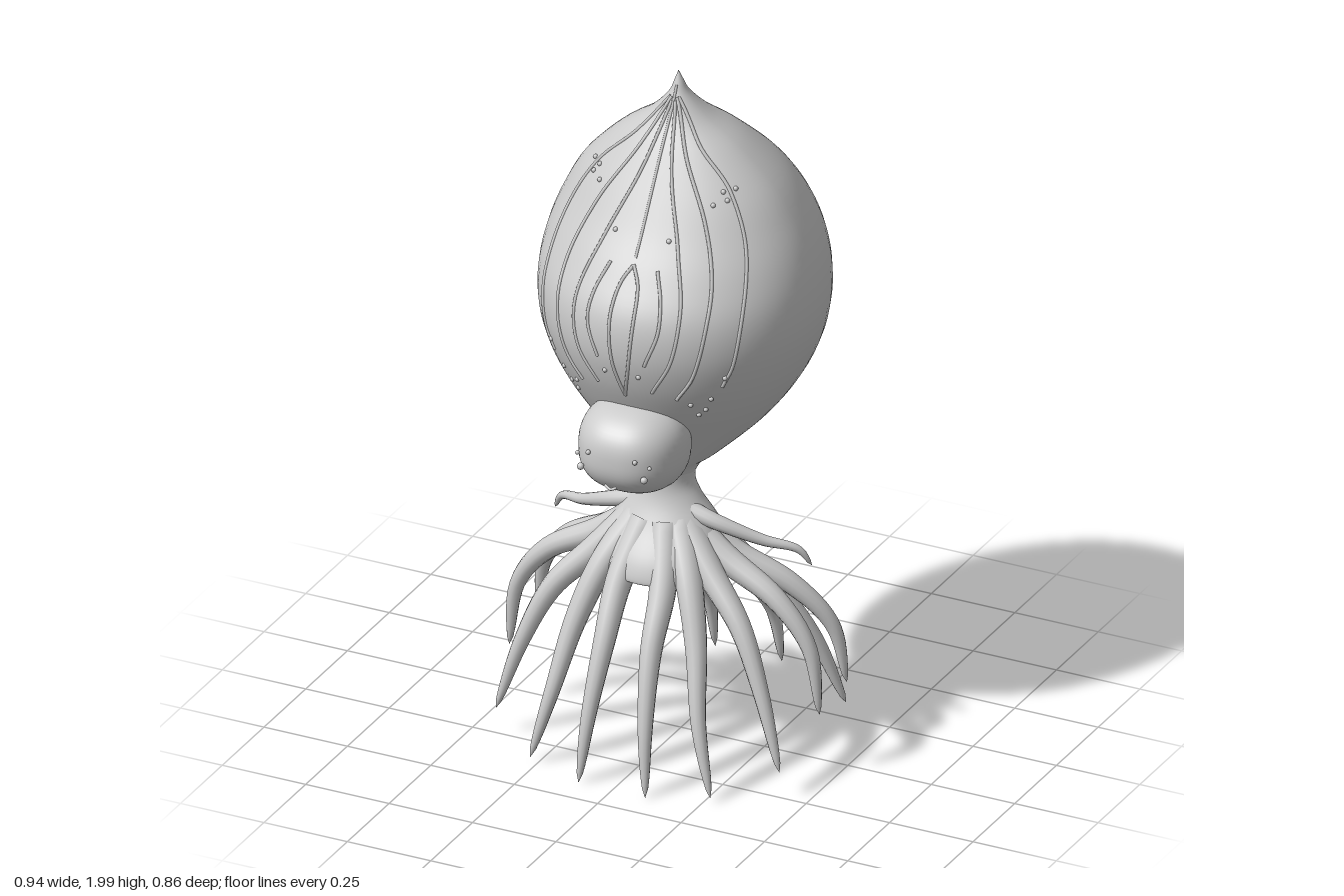
import * as THREE from 'three';

const V = (x, y, z) => new THREE.Vector3(x, y, z);

// Skin a list of closed rings (each an array of Vector3) with smooth normals.
function loft(rings) {
  const n = rings[0].length, pos = [], idx = [];
  rings.forEach(r => r.forEach(p => pos.push(p.x, p.y, p.z)));
  for (let i = 0; i < rings.length - 1; i++) {
    for (let j = 0; j < n; j++) {
      const k = (j + 1) % n, a = i * n + j, b = i * n + k;
      idx.push(a, b, b + n, a, b + n, a + n);
    }
  }
  const g = new THREE.BufferGeometry();
  g.setAttribute('position', new THREE.Float32BufferAttribute(pos, 3));
  g.setIndex(idx);
  g.computeVertexNormals();
  return g;
}

// Sections: [y, halfWidth, frontZ, backZ, centreZ], smoothed into many rows.
function smoothRows(rows, count) {
  const a = new THREE.CatmullRomCurve3(rows.map(r => V(r[0], r[1], 0)), false, 'catmullrom');
  const b = new THREE.CatmullRomCurve3(rows.map(r => V(r[2], r[3], r[4])), false, 'catmullrom');
  return Array.from({ length: count + 1 }, (_, i) => {
    const p = a.getPoint(i / count), q = b.getPoint(i / count);
    return [p.x, Math.max(p.y, 0), q.x, q.y, q.z];
  });
}

function sectionRing([y, w, f, b, c], n = 56) {
  return Array.from({ length: n }, (_, j) => {
    const t = j / n * Math.PI * 2, k = Math.cos(t);
    return V(w * Math.sin(t), y, c + k * (k > 0 ? f - c : c - b));
  });
}

// Tapering limb swept along a curve, with a rounded tip.
function limb(points, r0, r1) {
  const curve = new THREE.CatmullRomCurve3(points.map(p => V(...p)));
  const steps = 28, n = 12, fr = curve.computeFrenetFrames(steps, false);
  const rings = [];
  for (let i = 0; i <= steps; i++) {
    const t = i / steps, c = curve.getPointAt(t);
    const r = (r0 + (r1 - r0) * t) * Math.sqrt(Math.max(0, 1 - Math.pow(t, 14)));
    rings.push(Array.from({ length: n }, (_, j) => {
      const a = j / n * Math.PI * 2;
      return c.clone().addScaledVector(fr.normals[i], r * Math.cos(a))
        .addScaledVector(fr.binormals[i], r * Math.sin(a));
    }));
  }
  return loft(rings);
}

const MANTLE = smoothRows([
  [0.82, 0.07, 0.145, 0.015, 0.08], [0.865, 0.095, 0.17, -0.03, 0.07],
  [0.9, 0.14, 0.19, -0.11, 0.05], [1.0, 0.245, 0.24, -0.26, 0.01],
  [1.1, 0.32, 0.3, -0.345, -0.01], [1.2, 0.368, 0.347, -0.4, -0.02],
  [1.3, 0.392, 0.37, -0.425, -0.02], [1.4, 0.393, 0.36, -0.43, -0.02],
  [1.5, 0.375, 0.305, -0.41, -0.02], [1.6, 0.337, 0.24, -0.362, -0.02],
  [1.7, 0.278, 0.18, -0.285, -0.01], [1.8, 0.18, 0.12, -0.175, 0],
  [1.87, 0.085, 0.075, -0.085, 0.005], [1.93, 0.03, 0.04, -0.025, 0.01],
  [1.97, 0.012, 0.024, 0, 0.012], [2.0, 0, 0.015, 0.015, 0.015]], 75);

// Point on the front of the mantle at a given x and y.
function onMantle(x, y, lift = 0) {
  let i = 1;
  while (i < MANTLE.length - 1 && MANTLE[i][0] < y) i++;
  const A = MANTLE[i - 1], B = MANTLE[i], t = (y - A[0]) / (B[0] - A[0]);
  const [, w, f, , c] = A.map((v, k) => v + (B[k] - v) * t);
  return V(x, y, c + (f - c) * Math.sqrt(Math.max(0, 1 - (x / w) ** 2)) + lift);
}

export function createModel() {
  const root = new THREE.Group();
  const grey = new THREE.MeshStandardMaterial({ color: 0xcccccc, side: THREE.DoubleSide });
  const add = (name, geo, parent = root) => {
    const m = new THREE.Mesh(geo, grey);
    m.name = name;
    parent.add(m);
    return m;
  };
  const group = name => {
    const g = new THREE.Group();
    g.name = name;
    root.add(g);
    return g;
  };

  // Bulbous pointed body
  add('mantle', loft(MANTLE.map(r => sectionRing(r))));

  // Neck flaring into a hollow skirt
  const skirt = smoothRows([
    [0.67, 0, 0.085, 0.085, 0.085], [0.64, 0.09, 0.16, 0.01, 0.085],
    [0.57, 0.17, 0.24, -0.08, 0.085], [0.565, 0.187, 0.262, -0.095, 0.085],
    [0.62, 0.18, 0.245, -0.072, 0.085], [0.7, 0.142, 0.195, -0.025, 0.085],
    [0.76, 0.1, 0.165, 0.004, 0.085], [0.81, 0.077, 0.155, 0.012, 0.083],
    [0.87, 0.083, 0.16, 0, 0.08]], 40);
  add('skirt', loft(skirt.map(r => sectionRing(r))));

  // Tentacles and the slim side arms, mirrored left and right
  const tentacles = group('tentacles');
  const paths = [
    [[0.03, 0.7, 0.15], [0.065, 0.55, 0.24], [0.07, 0.4, 0.32], [0.085, 0.2, 0.385], [0.1, 0.01, 0.415]],
    [[0.06, 0.7, 0.13], [0.13, 0.57, 0.21], [0.18, 0.42, 0.27], [0.22, 0.22, 0.335], [0.27, 0.025, 0.365]],
    [[0.07, 0.7, 0.12], [0.17, 0.59, 0.165], [0.28, 0.47, 0.205], [0.355, 0.31, 0.235], [0.425, 0.09, 0.26]],
    [[0.07, 0.69, 0.1], [0.19, 0.61, 0.105], [0.34, 0.525, 0.11], [0.435, 0.4, 0.105], [0.465, 0.2, 0.1]],
    [[0.07, 0.69, 0.08], [0.18, 0.605, 0.05], [0.33, 0.52, 0], [0.43, 0.4, -0.045], [0.462, 0.22, -0.07]],
    [[0.06, 0.69, 0.06], [0.14, 0.59, -0.005], [0.25, 0.46, -0.06], [0.34, 0.31, -0.115], [0.41, 0.1, -0.17]],
    [[0.03, 0.7, 0.03], [0.06, 0.57, -0.07], [0.07, 0.45, -0.16], [0.08, 0.35, -0.27], [0.095, 0.22, -0.36], [0.1, 0.045, -0.405]]];
  const arm = [[0.07, 0.74, 0.11], [0.16, 0.71, 0.1], [0.27, 0.66, 0.05], [0.355, 0.63, 0.005], [0.385, 0.58, -0.015]];
  for (const s of [1, -1]) {
    const mirror = path => path.map(([x, y, z]) => [x * s, y, z]);
    paths.forEach(p => add('tentacle', limb(mirror(p), 0.045, 0.012), tentacles));
    add('sideArm', limb(mirror(arm), 0.026, 0.008), tentacles);
  }

  // Rounded, slightly boxy head
  const head = group('head');
  const skull = new THREE.SphereGeometry(1, 48, 32), p = skull.attributes.position;
  for (let i = 0; i < p.count; i++) {
    const v = V(p.getX(i), p.getY(i), p.getZ(i));
    const q = Math.pow(Math.abs(v.x) ** 2.5 + Math.abs(v.y) ** 2.5 + Math.abs(v.z) ** 2.5, -1 / 2.5);
    v.multiplyScalar(q);
    const taper = 1 - 0.12 * Math.max(0, v.z);
    p.setXYZ(i, v.x * 0.15 * taper, 0.997 + v.y * 0.128 * taper, 0.285 + v.z * 0.14);
  }
  skull.computeVertexNormals();
  add('skull', skull, head);

  // Small eyes, cheek bumps and mouth
  const bead = (name, x, y, z, r, parent) =>
    add(name, new THREE.SphereGeometry(r, 10, 8), parent).position.set(x, y, z);
  for (const s of [1, -1]) {
    bead('eye', s * 0.07, 1.015, 0.417, 0.007, head);
    bead('cheekBump', s * 0.095, 0.965, 0.412, 0.01, head);
    bead('cheekBump', s * 0.108, 1.0, 0.405, 0.006, head);
  }
  add('mouth', limb([[-0.018, 0.93, 0.42], [0, 0.922, 0.423], [0.018, 0.93, 0.42]], 0.004, 0.004), head);

  // Fine ridges following the front of the mantle
  const ridges = group('ridges');
  const ridge = (pts, r = 0.005) => {
    const guide = new THREE.CatmullRomCurve3(pts.map(([x, y]) => V(x, y, 0)));
    const path = guide.getPoints(28).map(q => onMantle(q.x, q.y));
    add('ridge', new THREE.TubeGeometry(new THREE.CatmullRomCurve3(path), 56, r, 6), ridges);
  };
  const lines = [
    [[0.07, 1.53], [0.1, 1.45], [0.105, 1.38], [0.07, 1.28]],
    [[0.005, 1.92], [0.045, 1.75], [0.11, 1.58], [0.155, 1.43], [0.14, 1.3], [0.08, 1.19]],
    [[0.008, 1.93], [0.07, 1.8], [0.16, 1.65], [0.215, 1.5], [0.22, 1.38], [0.19, 1.25], [0.14, 1.17]],
    [[0.012, 1.93], [0.09, 1.83], [0.2, 1.72], [0.27, 1.58], [0.295, 1.42], [0.28, 1.28], [0.25, 1.21]],
    [[0.0, 1.535], [0.025, 1.49], [0.035, 1.42], [0.025, 1.28], [0, 1.165]]];
  const dots = [[0.17, 1.69], [0.185, 1.72], [0.2, 1.7], [0.21, 1.725], [0.08, 1.6],
    [0.2, 1.13], [0.18, 1.11], [0.22, 1.17], [0.26, 1.24], [0.17, 1.15], [0.05, 1.24]];
  ridge([[0, 1.96], [0, 1.8], [0, 1.55]], 0.004);
  for (const s of [1, -1]) {
    lines.forEach(l => ridge(l.map(([x, y]) => [x * s, y])));
    dots.forEach(([x, y]) => {
      const q = onMantle(x * s, y);
      bead('ridgeDot', q.x, q.y, q.z, 0.007, ridges);
    });
  }
  return root;
}
